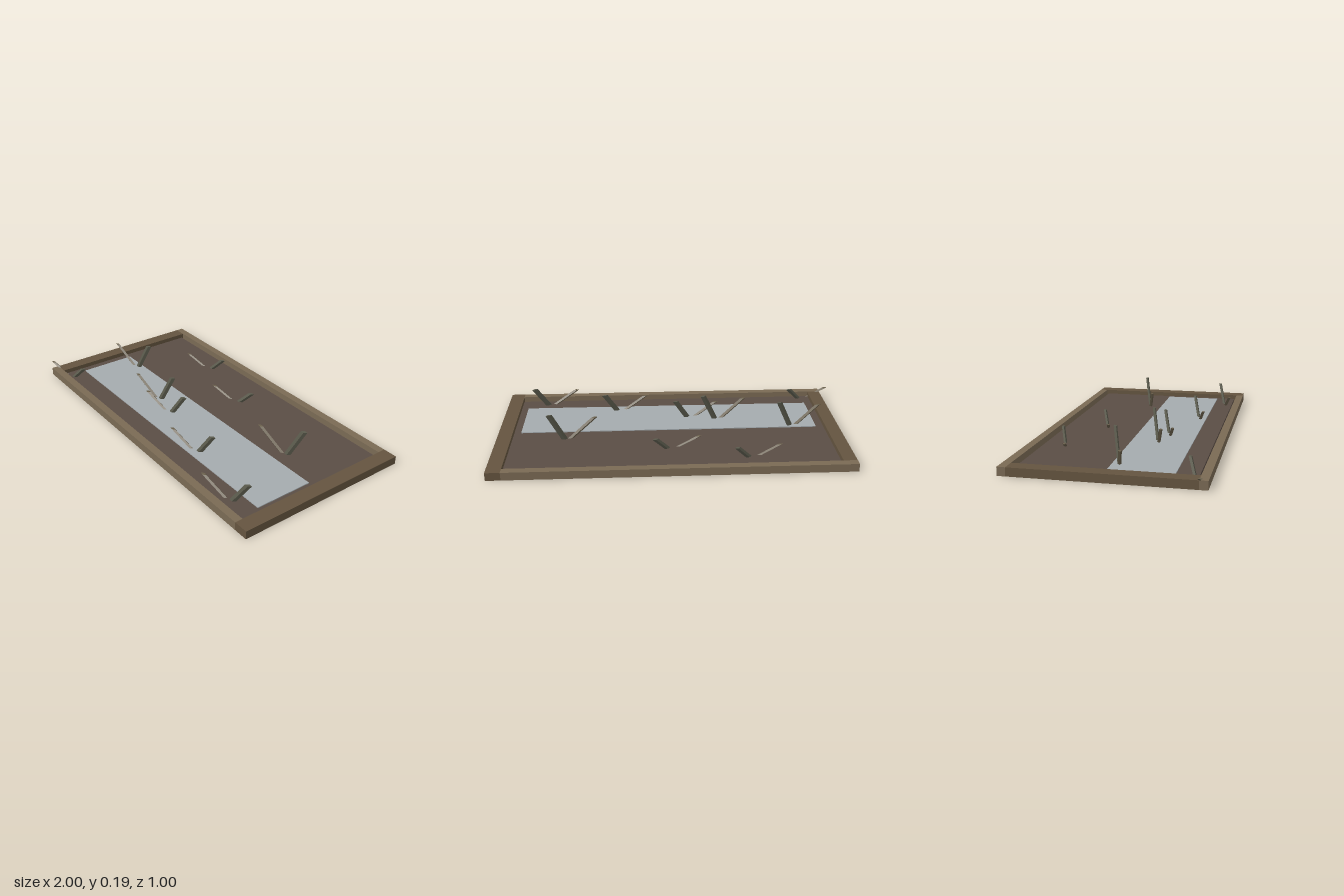
import * as THREE from 'three';

const mat = (color) => new THREE.MeshStandardMaterial({ color, flatShading: true });

// Box given by its min and max corners
function slab(name, material, [x0, y0, z0], [x1, y1, z1]) {
  const mesh = new THREE.Mesh(new THREE.BoxGeometry(x1 - x0, y1 - y0, z1 - z0), material);
  mesh.name = name;
  mesh.position.set((x0 + x1) / 2, (y0 + y1) / 2, (z0 + z1) / 2);
  return mesh;
}

// Leaning blade: a flat diamond prism with level ends, sheared from the origin to its tip
function bladeGeometry(dx, height, dz) {
  const geo = new THREE.CylinderGeometry(1, 1, height, 4);
  geo.scale(0.018, 1, 0.009);
  geo.rotateY(Math.atan2(-dz, dx));
  geo.translate(0, height / 2, 0);
  const p = geo.attributes.position;
  for (let i = 0; i < p.count; i++) {
    const t = p.getY(i) / height;
    p.setX(i, p.getX(i) + dx * t);
    p.setZ(i, p.getZ(i) + dz * t);
  }
  geo.computeVertexNormals();
  return geo;
}

export function createModel() {
  const model = new THREE.Group();
  model.name = 'plantedBed';

  const longWood = mat(0x7a6a54);
  const sideWood = mat(0x64543f);
  const soil = mat(0x5a4d45);
  const water = mat(0xa4abae);
  const shortStem = mat(0x6a604c);
  const tallStem = mat(0x5a5a4c);

  // Timber frame
  const h = 0.045;
  model.add(slab('backRail', longWood, [-0.95, 0, -0.5], [0.92, h, -0.457]));
  model.add(slab('frontRail', longWood, [-0.95, 0, 0.457], [0.92, h, 0.5]));
  model.add(slab('leftRail', sideWood, [0.92, 0, -0.5], [1, h, 0.5]));
  model.add(slab('rightRail', sideWood, [-0.95, 0, -0.457], [-0.875, h, 0.457]));

  // Soil floor and the pale strip lying on it
  model.add(slab('soil', soil, [-0.875, 0.006, -0.445], [0.92, 0.02, 0.442]));
  model.add(slab('waterStrip', water, [-0.83, 0.018, 0], [0.88, 0.025, 0.33]));

  // Sprouts: a low blade and a tall blade from one root; [x, z, height scale]
  const lowBlade = bladeGeometry(-0.16, 0.13, 0.043);
  const tallBlade = bladeGeometry(0.085, 0.185, -0.04);
  const sprouts = [
    [-0.405, -0.335, 0.5], [0.03, -0.215, 0.5], [-0.825, 0.427, 0.5],
    [-0.1, 0.175, 0.75], [0.32, 0.285, 0.75], [0.75, 0.395, 0.75],
    [-0.69, 0.03, 1], [-0.26, 0.141, 1], [0.615, -0.08, 1],
  ];
  for (const [x, z, s] of sprouts) {
    const sprout = new THREE.Group();
    sprout.name = 'sprout';
    const low = new THREE.Mesh(lowBlade, shortStem);
    low.name = 'lowBlade';
    const tall = new THREE.Mesh(tallBlade, tallStem);
    tall.name = 'tallBlade';
    sprout.add(low, tall);
    sprout.position.set(x, 0, z);
    sprout.scale.y = s;
    model.add(sprout);
  }
  return model;
}
